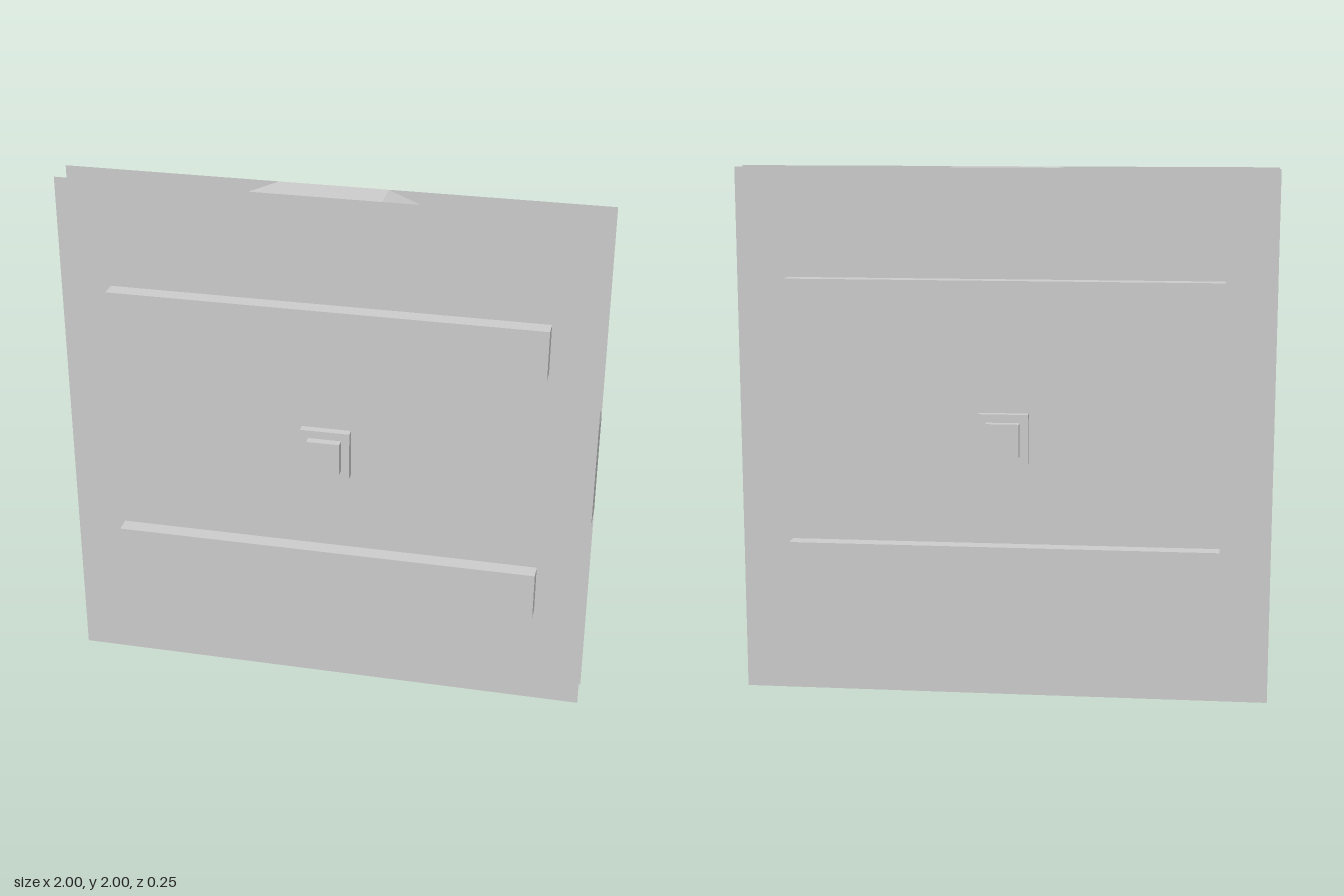
import * as THREE from 'three';

const HALF = 0.0625; // half the thickness of the core

export function createModel() {
  const group = new THREE.Group();
  const solid = new THREE.MeshStandardMaterial({ color: 0xcccccc, flatShading: true });
  const thin = new THREE.MeshStandardMaterial({ color: 0xcccccc, side: THREE.DoubleSide });

  const add = (name, geometry, material, x, y, z) => {
    const mesh = new THREE.Mesh(geometry, material);
    mesh.name = name;
    mesh.position.set(x, y, z);
    group.add(mesh);
    return mesh;
  };

  // Sixteen-sided rim, with flats at the top, bottom and sides
  const radius = 1 / Math.cos(Math.PI / 16);
  const rimGeometry = new THREE.CylinderGeometry(radius, radius, HALF * 2, 16, 1, true);
  rimGeometry.rotateY(Math.PI / 16).rotateX(Math.PI / 2);
  add('rim', rimGeometry, solid, 0, 1, 0);

  // Front and back carry the same square sheet, battens and stepped boss
  for (const [side, s] of [['front', 1], ['back', -1]]) {
    const sheet = add(side + 'Sheet', new THREE.PlaneGeometry(2, 2), thin, 0, 1, s * HALF);
    if (s < 0) sheet.rotation.y = Math.PI;

    // Box standing out from the sheet by a given depth
    const raised = (name, w, h, depth, y) =>
      add(side + name, new THREE.BoxGeometry(w, h, depth), solid, 0, y, s * (HALF + depth / 2));

    raised('UpperBatten', 1.62, 0.1875, 0.0625, 1.5);
    raised('LowerBatten', 1.62, 0.1875, 0.0625, 0.5);
    raised('BossBase', 0.1875, 0.1875, 0.031, 1);
    raised('BossCap', 0.125, 0.125, 0.0625, 1);
  }
  return group;
}
